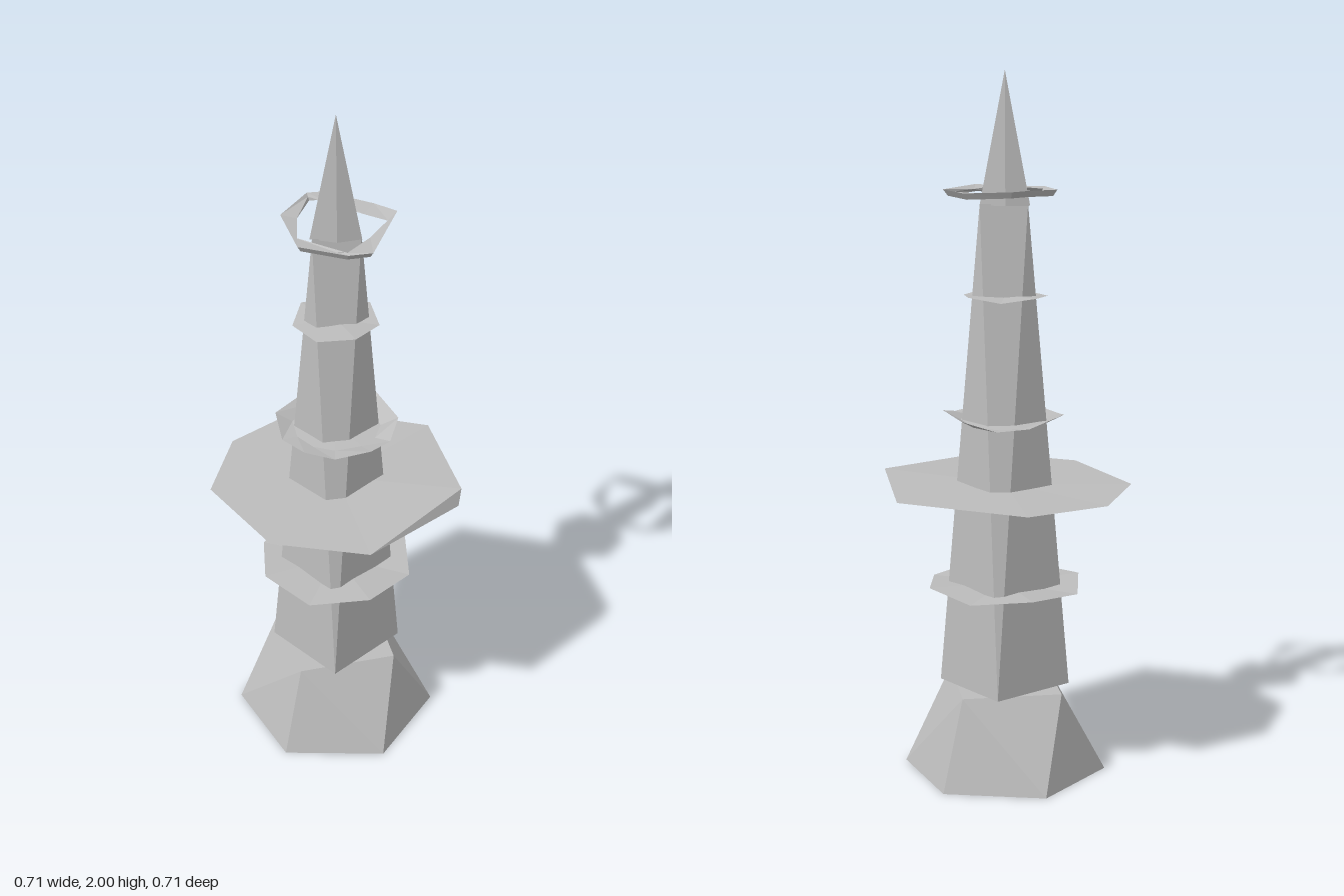
import * as THREE from 'three';

const stone = new THREE.MeshStandardMaterial({ color: 0xbcbcbc, side: THREE.DoubleSide, flatShading: true });
stone.name = 'grey stone';

// Faceted mesh from corner points and triangles
function facets(name, points, triangles) {
  const g = new THREE.BufferGeometry();
  g.setAttribute('position', new THREE.Float32BufferAttribute(points.flat(), 3));
  g.setIndex(triangles.flat());
  const flat = g.toNonIndexed();
  flat.computeVertexNormals();
  const mesh = new THREE.Mesh(flat, stone);
  mesh.name = name;
  return mesh;
}

// Triangles joining two loops of n points, listed one after the other
function band(n, from, to) {
  const tris = [];
  for (let i = 0; i < n; i++) {
    const j = (i + 1) % n;
    tris.push([from + i, from + j, to + i], [from + j, to + j, to + i]);
  }
  return tris;
}

// Sheet fanned from a point on the axis to an outline
function fan(name, outline, y, flip = false) {
  const n = outline.length;
  const tris = outline.map((_, i) => (flip ? [n, (i + 1) % n, i] : [n, i, (i + 1) % n]));
  return facets(name, [...outline, [0, y, 0]], tris);
}

// Thin wavy collar around the shaft
function collar(name, sides, radius, y, wave, turn) {
  const outline = [];
  for (let i = 0; i < sides; i++) {
    const a = turn + (i / sides) * Math.PI * 2;
    outline.push([Math.sin(a) * radius, y + (i % 2 ? wave : -wave), Math.cos(a) * radius]);
  }
  return fan(name, outline, y);
}

export function createModel() {
  const model = new THREE.Group();
  model.name = 'tower';

  // Pedestal: hexagon foot turning into a diamond top
  const foot = [];
  for (let i = 0; i < 6; i++) {
    const a = (i * Math.PI) / 3;
    foot.push([Math.sin(a) * 0.29, 0, Math.cos(a) * 0.29]);
  }
  const top = [[0, 0.255, 0.2], [0.2, 0.255, 0], [0, 0.255, -0.2], [-0.2, 0.255, 0]];
  model.add(facets('pedestal', [...foot, ...top], [
    [0, 1, 6], [1, 7, 6], [1, 2, 7], [2, 8, 7], [2, 3, 8],
    [3, 4, 8], [4, 9, 8], [4, 5, 9], [5, 6, 9], [5, 0, 6],
    [6, 7, 8], [6, 8, 9], [0, 2, 1], [0, 3, 2], [0, 4, 3], [0, 5, 4],
  ]));

  // Shaft: turned square narrowing to a diagonal ridge
  model.add(facets('shaft', [
    [-0.16, 0.255, 0.092], [0.092, 0.255, 0.158], [0.16, 0.255, -0.095], [-0.092, 0.255, -0.158],
    [0.052, 1.635, -0.046], [-0.05, 1.635, 0.04],
  ], [[0, 1, 5], [1, 4, 5], [1, 2, 4], [2, 3, 4], [3, 5, 4], [3, 0, 5]]));

  // Spire: thin blade-like pyramid
  model.add(facets('spire', [
    [-0.06, 1.63, 0.036], [0.012, 1.63, 0.014], [0.06, 1.63, -0.036], [-0.012, 1.63, -0.014], [0, 2, 0],
  ], [[0, 1, 4], [1, 2, 4], [2, 3, 4], [3, 0, 4], [0, 2, 1], [0, 3, 2]]));

  // Small collars
  model.add(collar('lowerCollar', 8, 0.226, 0.55, 0.006, 0.2));
  model.add(collar('highCollar', 7, 0.121, 1.38, 0.004, 0.1));

  // Wide platform: upper and lower sheets with a thicker right edge
  const rim = [
    [0, 0.84, 0.351], [0.264, 0.845, 0.257], [0.343, 0.858, -0.117], [0.104, 0.843, -0.355],
    [-0.262, 0.838, -0.25], [-0.355, 0.832, -0.006], [-0.279, 0.836, 0.226],
  ];
  const lip = [0.351, 0.82, -0.087];
  const underRim = rim.map((p, i) => (i === 2 ? lip : p));
  const platform = new THREE.Group();
  platform.name = 'platform';
  platform.add(fan('platformTop', rim, 0.843), fan('platformUnderside', underRim, 0.836, true));
  platform.add(facets('platformEdge', [rim[1], lip, rim[2], rim[3]], [[0, 1, 2], [1, 3, 2]]));
  model.add(platform);

  // Upturned middle collar
  const brim = [
    [0, 1.035, 0.168], [0.085, 1.03, 0.147], [0.155, 1.035, 0.07], [0.173, 1.03, -0.005], [0.15, 1.05, -0.09],
    [0.015, 1.05, -0.18], [-0.088, 1.03, -0.157], [-0.15, 1.035, -0.09], [-0.158, 1.05, 0.066], [-0.088, 1.03, 0.143],
  ];
  const crease = brim.map(([x, , z]) => [x * 0.72, 1.025, z * 0.72]);
  model.add(facets('middleCollarBrim', [...brim, ...crease], band(10, 0, 10)));
  model.add(fan('middleCollarFloor', crease, 1.03));

  // Open ring around the spire
  const outer = [
    [-0.03, 1.672, 0.145], [0.1, 1.665, 0.105], [0.155, 1.672, 0.07], [0.108, 1.68, -0.138],
    [0.03, 1.675, -0.148], [-0.11, 1.685, -0.118], [-0.142, 1.688, -0.085], [-0.148, 1.68, 0.04],
  ];
  const inner = [
    [-0.07, 1.67, 0.105], [0.095, 1.67, 0.1], [0.105, 1.668, 0], [0.105, 1.67, -0.095],
    [0.03, 1.67, -0.092], [-0.05, 1.672, -0.09], [-0.135, 1.68, -0.08], [-0.108, 1.672, 0.02],
  ];
  const under = outer.map(([x, y, z]) => [x * 0.92, y - 0.018, z * 0.92]);
  model.add(facets('ring', [...outer, ...inner, ...under],
    [...band(8, 0, 8), ...band(8, 16, 0), ...band(8, 8, 16)]));

  return model;
}
